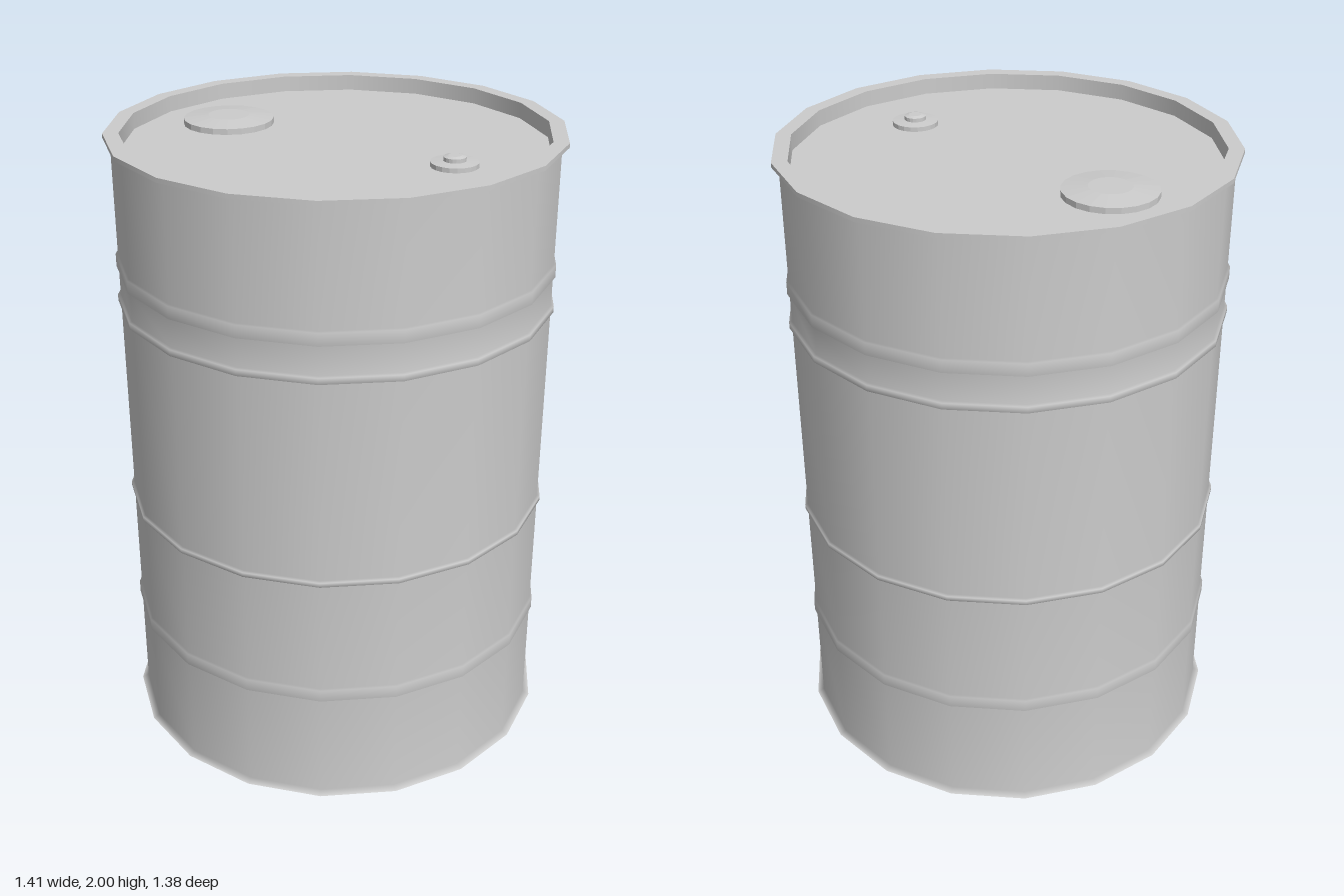
import * as THREE from 'three';

const SIDES = 18;

// Turns a profile of [radius, y] pairs around the y axis, first corner on +x
function turn(name, profile, sides = SIDES, flatShading = false) {
  const points = profile.map(([r, y]) => new THREE.Vector2(r, y));
  const geometry = new THREE.LatheGeometry(points, sides, Math.PI / 2);
  const material = new THREE.MeshStandardMaterial({ color: 0xcccccc, flatShading });
  const mesh = new THREE.Mesh(geometry, material);
  mesh.name = name;
  return mesh;
}

export function createModel() {
  const model = new THREE.Group();
  model.name = 'barrel';
  const R = 0.682, RIM = 0.703, INNER = 0.655, LID = 1.95;

  // Side wall: raised hoops [bottom, top, radius] softened by smooth normals
  const hoops = [[0.37, 0.41, 0.689], [0.795, 0.81, 0.691], [1.465, 1.485, 0.691], [1.58, 1.62, 0.689]];
  const wall = [[RIM, 0], [R, 0.01]];
  for (const [low, high, r] of hoops) {
    wall.push([R, low - 0.003], [r, low], [r, high], [R, high + 0.003]);
  }
  wall.push([R, 1.98]);
  model.add(turn('sideWall', wall));

  // Base, top rim and sunken lid are separate so that their edges stay sharp
  model.add(turn('base', [[0, 0], [RIM, 0]]));
  model.add(turn('rimUnderside', [[R, 1.98], [RIM, 1.986]]));
  model.add(turn('rimEdge', [[RIM, 1.986], [RIM, 2]]));
  model.add(turn('rimTop', [[RIM, 2], [INNER, 2]]));
  model.add(turn('rimInside', [[INNER, 2], [INNER, LID]]));
  model.add(turn('lid', [[INNER, LID], [0, LID]]));

  // Large domed filler cap
  const largeCap = turn('largeCap',
    [[0.143, 0], [0.143, 0.018], [0.065, 0.027], [0, 0.027]], 20, true);
  largeCap.position.set(-0.414, LID, 0);
  model.add(largeCap);

  // Small stepped vent cap
  const smallCap = turn('smallCap',
    [[0.072, 0], [0.072, 0.014], [0.034, 0.017], [0.034, 0.029], [0.02, 0.033], [0, 0.033]], 20, true);
  smallCap.position.set(0.414, LID, 0);
  model.add(smallCap);

  return model;
}
